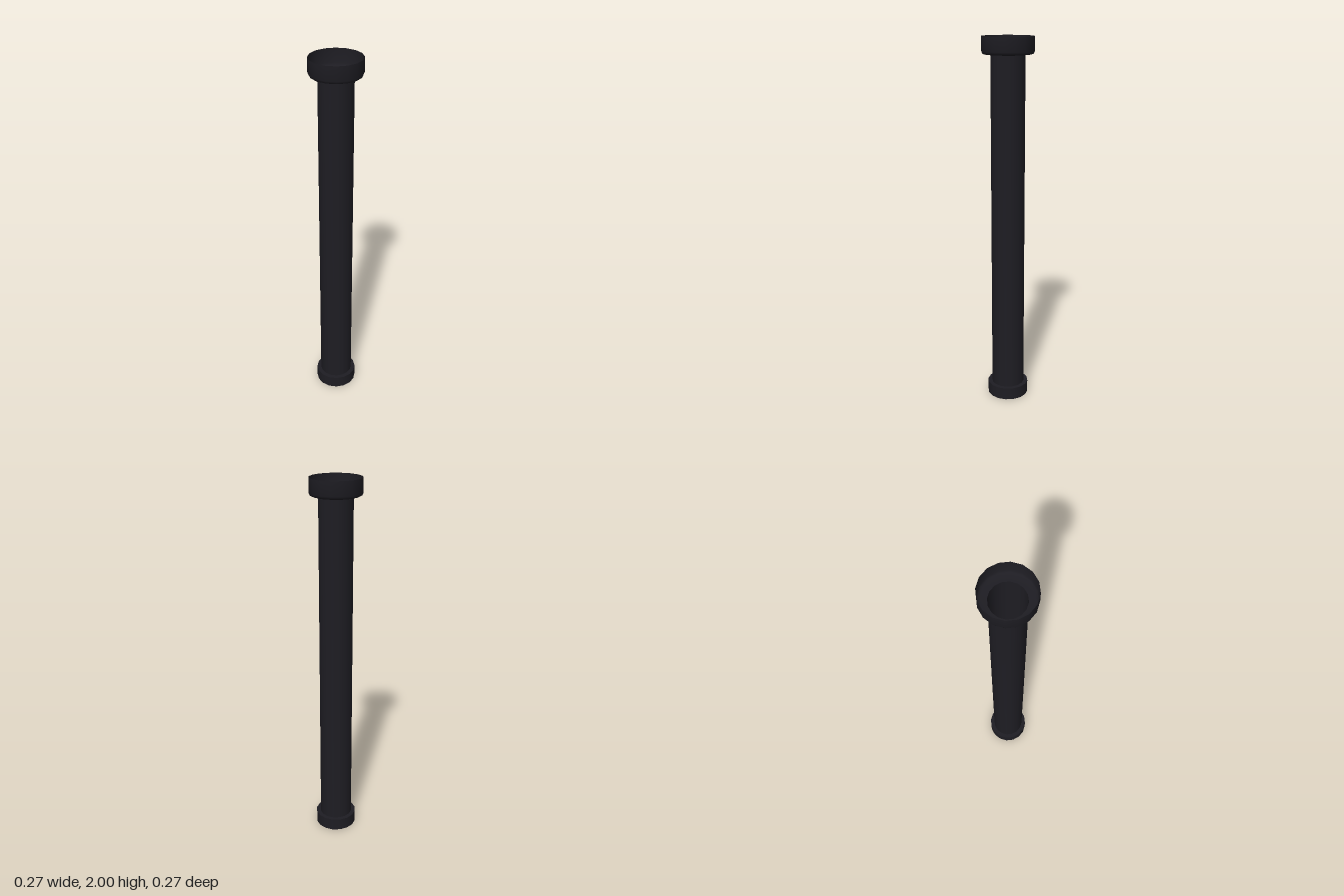
import * as THREE from 'three';
import { toCreasedNormals } from 'three/addons/utils/BufferGeometryUtils.js';

const SIDES = 16;
const TURN = THREE.MathUtils.degToRad(-2.2);

// Open thin-walled surface of revolution from [radius, height] pairs, bottom to top
function turned(name, profile, material) {
  const points = profile.map(([r, y]) => new THREE.Vector2(r, y));
  const geometry = new THREE.LatheGeometry(points, SIDES, TURN);
  const mesh = new THREE.Mesh(toCreasedNormals(geometry, 0.9), material);
  mesh.name = name;
  return mesh;
}

export function createModel() {
  const model = new THREE.Group();
  model.name = 'pipe';
  const material = new THREE.MeshStandardMaterial({ color: 0x1e1d23, side: THREE.DoubleSide });

  // Bottom collar, open below, stepping in to the shaft
  model.add(turned('bottomCollar', [[0.113, 0], [0.113, 0.068], [0.09, 0.068]], material));

  // Long hollow shaft
  model.add(turned('shaft', [[0.09, 0.068], [0.09, 1.91]], material));

  // Wide top socket with a softened lower edge, open above
  model.add(turned('topSocket', [
    [0.09, 1.91], [0.122, 1.91], [0.132, 1.914], [0.137, 1.926], [0.137, 2],
  ], material));

  return model;
}
